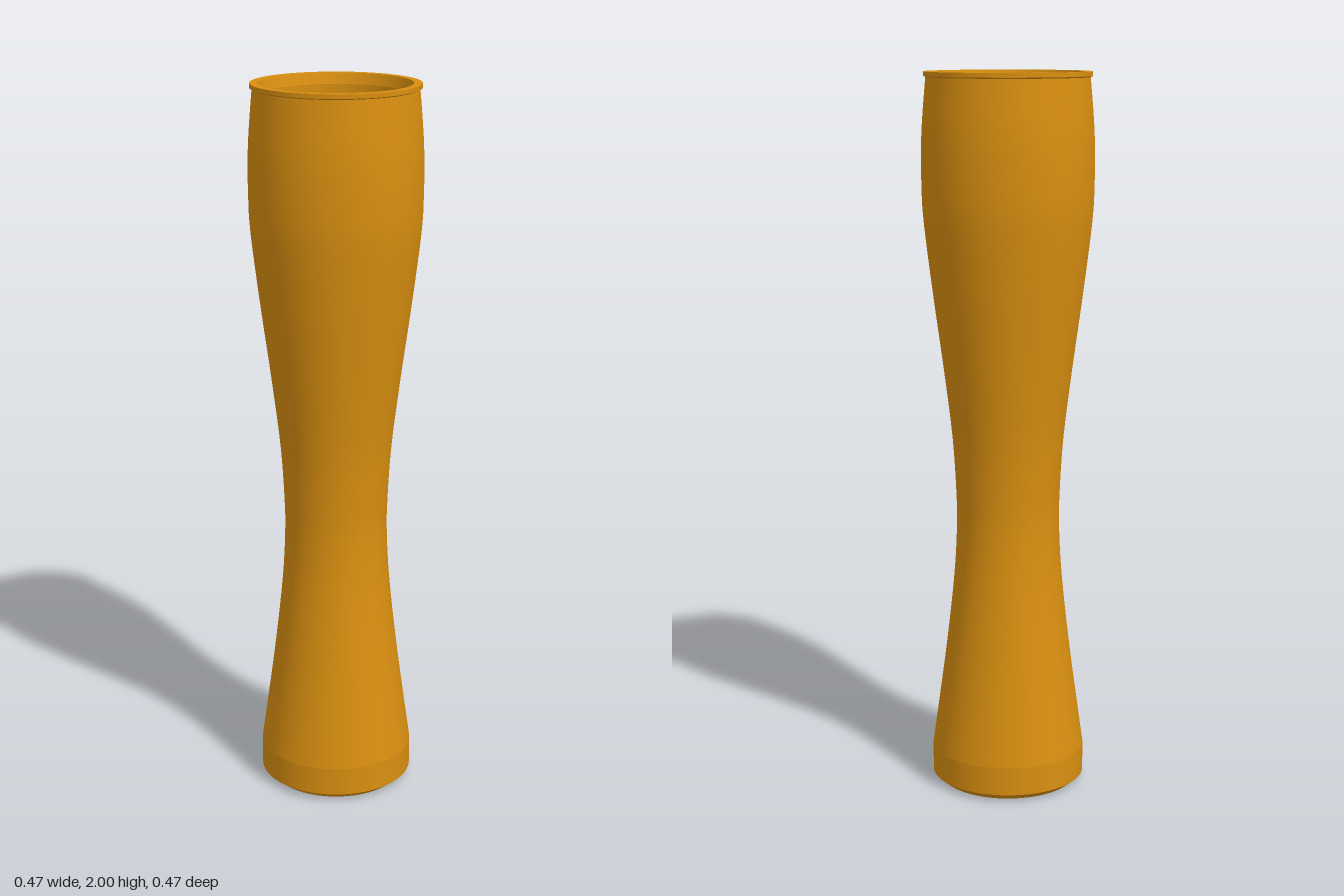
import * as THREE from 'three';

const amber = new THREE.MeshStandardMaterial({ color: 0xd98f10 });
amber.name = 'amber';

// One smooth lathed section; separate sections keep the edges between them sharp.
// Profiles run bottom to top outside and top to bottom inside.
function turned(name, profile) {
  const points = profile.map(([r, y]) => new THREE.Vector2(r, y));
  const mesh = new THREE.Mesh(new THREE.LatheGeometry(points, 96), amber);
  mesh.name = name;
  return mesh;
}

// Smooth curve through a few profile points
function curved(profile, steps) {
  const curve = new THREE.SplineCurve(profile.map(([r, y]) => new THREE.Vector2(r, y)));
  return curve.getPoints(steps).map((p) => [p.x, p.y]);
}

export function createModel() {
  const group = new THREE.Group();
  group.name = 'tallGlass';

  // Foot
  group.add(turned('baseDisc', [[0, 0], [0.19, 0]]));
  group.add(turned('baseBevel', [[0.19, 0], [0.215, 0.02]]));
  group.add(turned('baseBand', [[0.215, 0.02], [0.215, 0.1]]));

  // Waisted body
  group.add(turned('body', curved([
    [0.215, 0.1], [0.201, 0.2], [0.174, 0.4], [0.152, 0.6], [0.144, 0.74], [0.145, 0.84],
    [0.155, 1.0], [0.179, 1.2], [0.206, 1.4], [0.23, 1.6], [0.235, 1.7], [0.235, 1.8],
    [0.231, 1.88], [0.222, 1.985],
  ], 52)));

  // Rim with a small outer lip
  group.add(turned('lipUnderside', [[0.222, 1.985], [0.228, 1.988]]));
  group.add(turned('lipEdge', [[0.228, 1.988], [0.228, 2]]));
  group.add(turned('rimTop', [[0.228, 2], [0.206, 2]]));
  group.add(turned('rimInnerBevel', [[0.206, 2], [0.198, 1.97]]));

  // Hollow inside, down to the floor above the waist
  group.add(turned('innerWall', curved([
    [0.198, 1.97], [0.2, 1.8], [0.198, 1.6], [0.182, 1.4], [0.157, 1.2], [0.142, 1.02], [0.135, 0.9],
  ], 28)));
  group.add(turned('innerFloor', [[0.135, 0.9], [0, 0.9]]));

  return group;
}
